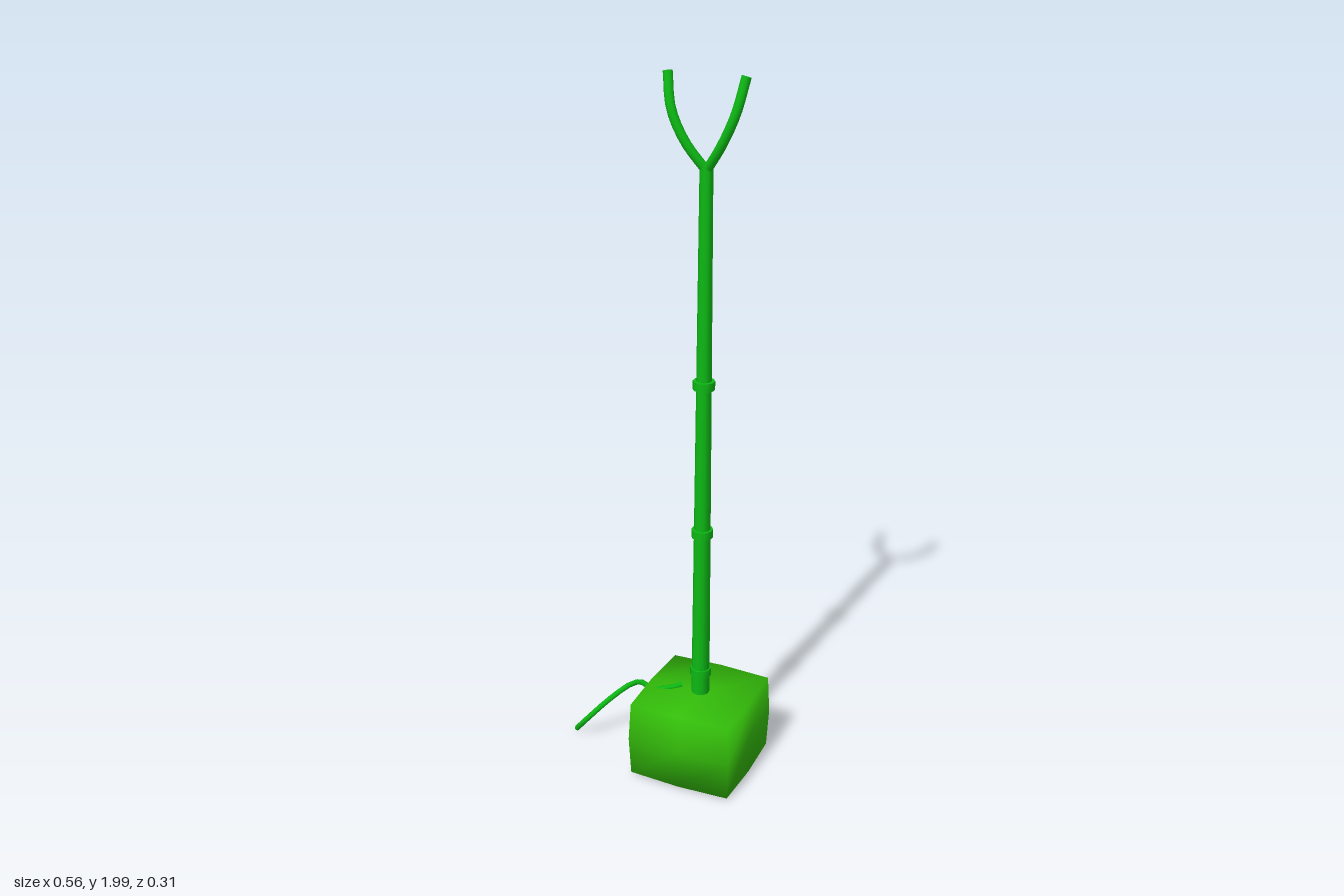
import * as THREE from 'three';
import { mergeVertices, mergeGeometries, toCreasedNormals } from 'three/addons/utils/BufferGeometryUtils.js';

const boxGreen = new THREE.MeshStandardMaterial({ color: 0x33bb0a });
const green = new THREE.MeshStandardMaterial({ color: 0x0db814 });
const CX = 0.125; // axis of base and pole

function part(name, geometry, material = green) {
  const mesh = new THREE.Mesh(geometry, material);
  mesh.name = name;
  return mesh;
}

// Tube through points, closed by a flat disc at each end
function cappedTube(points, segments, radius, sides) {
  const curve = new THREE.CatmullRomCurve3(points.map(p => new THREE.Vector3(...p)));
  const tube = new THREE.TubeGeometry(curve, segments, radius, sides);
  const caps = [0, 1].map(t => {
    const dir = curve.getTangentAt(t).multiplyScalar(t ? 1 : -1);
    const q = new THREE.Quaternion().setFromUnitVectors(new THREE.Vector3(0, 0, 1), dir);
    const p = curve.getPointAt(t);
    return new THREE.CircleGeometry(radius, sides).applyQuaternion(q).translate(p.x, p.y, p.z);
  });
  return mergeGeometries([tube, ...caps]);
}

// Softly bulging block with shared, smooth normals
function bulgedBlock(w, h, d, bulge) {
  let g = new THREE.BoxGeometry(w, h, d, 2, 2, 2);
  const p = g.attributes.position, v = new THREE.Vector3();
  const half = [w / 2, h / 2, d / 2];
  for (let i = 0; i < p.count; i++) {
    v.fromBufferAttribute(p, i);
    const n = v.toArray().map((c, k) => c / half[k]);
    const free = 3 - n.reduce((s, c) => s + Math.abs(c), 0); // 0 corner, 2 face centre
    p.setXYZ(i, ...n.map((c, k) => c * (half[k] + (k === 1 ? 0.002 : bulge) * Math.min(free, 1.2))));
  }
  g.deleteAttribute('uv');
  g.deleteAttribute('normal');
  g = mergeVertices(g);
  g.computeVertexNormals();
  return g;
}

export function createModel() {
  const model = new THREE.Group();
  model.name = 'forkedStand';

  // Base block
  const base = part('base', bulgedBlock(0.3, 0.228, 0.3, 0.005), boxGreen);
  base.position.set(CX, 0.127, 0);
  model.add(base);

  // Tapered pole
  const pole = part('pole', toCreasedNormals(new THREE.CylinderGeometry(0.0175, 0.026, 1.53, 10), 0.9));
  pole.position.set(CX, 1.0, 0);
  model.add(pole);

  // Joint rings
  [0.31, 0.75, 1.185].forEach((y, i) => {
    const ring = part('ring' + (i + 1), toCreasedNormals(new THREE.CylinderGeometry(0.03, 0.03, 0.024, 10), 0.9));
    ring.position.set(CX, y, 0);
    model.add(ring);
  });

  // Two curved prongs
  for (const [name, s] of [['leftProng', 1], ['rightProng', -1]]) {
    const path = [[0, 1.757, 0], [0.05, 1.83, 0.021], [0.087, 1.91, 0.024], [0.105, 1.998, 0.005]]
      .map(([x, y, z]) => [CX + s * x, y, z]);
    model.add(part(name, cappedTube(path, 10, 0.0125, 10)));
  }

  // Wavy cable running off the top of the base to the ground
  const cable = [[-0.274, 0.012, 0.016], [-0.245, 0.05, 0.036], [-0.213, 0.088, 0.033],
    [-0.184, 0.12, 0.01], [-0.15, 0.152, -0.022], [-0.119, 0.177, -0.04], [-0.087, 0.198, -0.033],
    [-0.055, 0.215, -0.004], [-0.022, 0.229, 0.027], [0.01, 0.237, 0.036], [0.038, 0.243, 0.024], [0.065, 0.246, -0.001]];
  model.add(part('cable', cappedTube(cable, 14, 0.008, 8)));

  return model;
}
